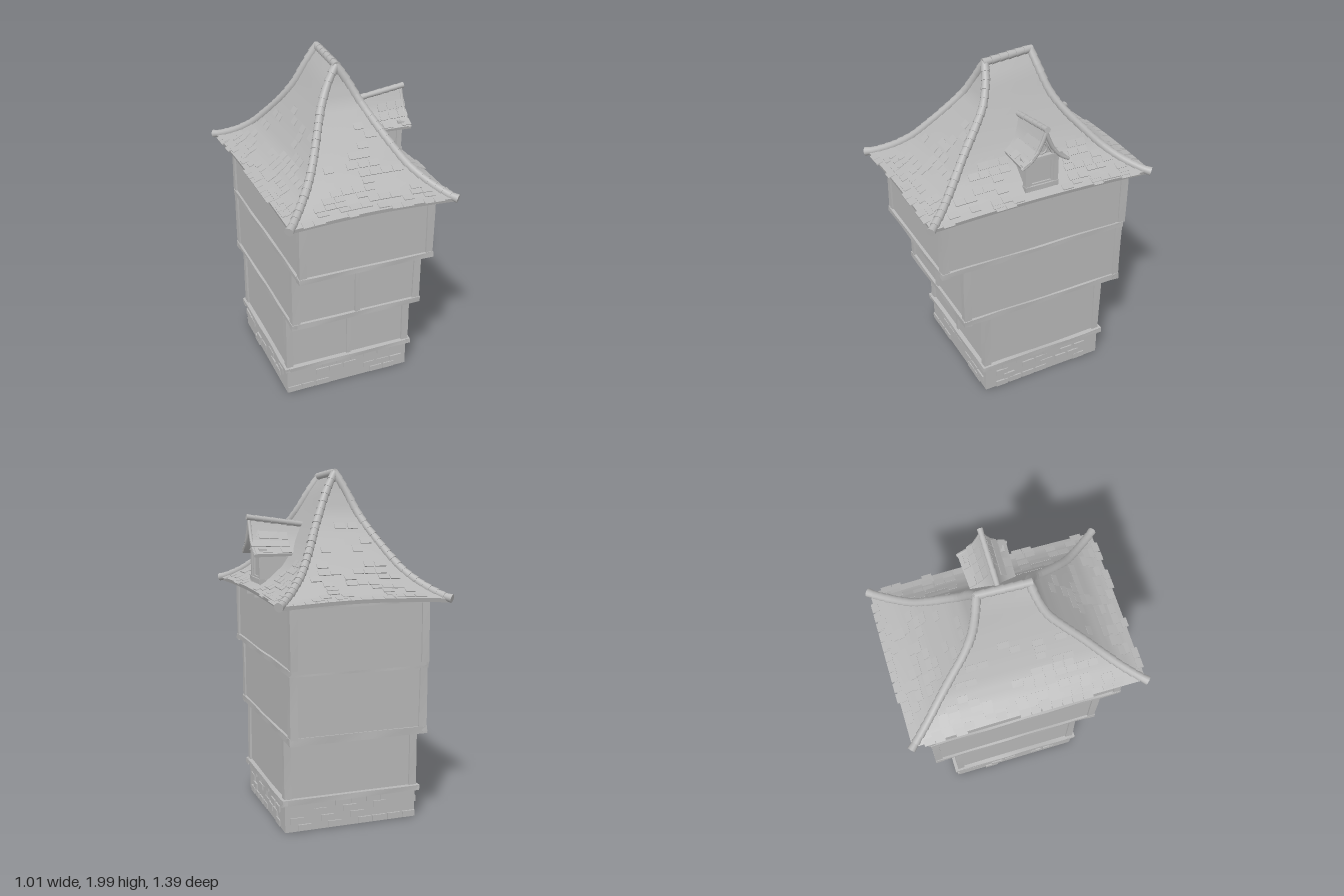
import * as THREE from 'three';
import { mergeGeometries, toCreasedNormals } from 'three/addons/utils/BufferGeometryUtils.js';

const stone = new THREE.MeshStandardMaterial({ color: 0xb8b8b8 });
stone.name = 'plain grey';

let seed = 7;
const rand = () => (seed = (seed * 16807) % 2147483647) / 2147483647;
const V = (x, y, z) => new THREE.Vector3(x, y, z);

// Roof contour from soffit to ridge: height, half width, front z, back z
const LEVELS = [
  [1.315, 0.37, 0.56, -0.56], [1.288, 0.468, 0.662, -0.662], [1.31, 0.474, 0.667, -0.667],
  [1.335, 0.425, 0.61, -0.61], [1.38, 0.36, 0.535, -0.535], [1.45, 0.288, 0.452, -0.452],
  [1.55, 0.222, 0.362, -0.362], [1.65, 0.165, 0.272, -0.278], [1.75, 0.112, 0.193, -0.216],
  [1.86, 0.055, 0.148, -0.175], [1.945, 0, 0.125, -0.15],
];
const EAVE = 2, RIDGE = LEVELS.length - 1;

// Corners run counterclockwise seen from above, starting front left
function corner(k, level) {
  const i = Math.min(Math.floor(level), RIDGE - 1), f = level - i;
  const [y, x, zf, zb] = LEVELS[i].map((v, j) => v + (LEVELS[i + 1][j] - v) * f);
  const back = k % 4 === 1 || k % 4 === 2;
  const lift = back ? 0.028 * Math.max(0, (y - 1.75) / 0.195) : 0;
  return V(k % 4 < 2 ? x : -x, y + lift, back ? zb : zf);
}

function roofPoint(k, level, u) {
  const p = corner(k, level).lerp(corner(k + 1, level), u);
  const low = THREE.MathUtils.clamp(1 - (level - EAVE) / 4, 0, 1);
  p.y += 0.018 * low * Math.sin(Math.PI * u);
  return p;
}

function roofSide(k) {
  const pos = [], index = [], across = 12, rows = (RIDGE - EAVE) * 3 + EAVE;
  for (let r = 0; r <= rows; r++) {
    const level = r <= EAVE ? r : EAVE + (r - EAVE) / 3;
    for (let c = 0; c <= across; c++) pos.push(...roofPoint(k, level, c / across).toArray());
  }
  const w = across + 1;
  for (let r = 0; r < rows; r++) for (let c = 0; c < across; c++) {
    const a = r * w + c;
    index.push(a, a + 1, a + w + 1, a, a + w + 1, a + w);
  }
  const g = new THREE.BufferGeometry();
  g.setAttribute('position', new THREE.Float32BufferAttribute(pos, 3));
  g.setIndex(index);
  return toCreasedNormals(g, 0.6);
}

// Thin shingles lying on one roof side in broken courses, ragged along the eave
function shingles(k) {
  const parts = [], m = new THREE.Matrix4();
  for (let row = 0; row < 14; row++) {
    const level = 2.12 + row * 0.4;
    const length = corner(k, level).distanceTo(corner(k + 1, level));
    const count = Math.floor(length / 0.06);
    for (let c = 1; c < count - 1; c++) {
      if (rand() > (row < 9 ? 0.5 : 0.2)) continue;
      const u = (c + 0.5 + (row % 2) * 0.4) / count;
      const p = roofPoint(k, level, u);
      if (k === 0 && row > 1 && Math.abs(p.z) < 0.15) continue;
      const right = roofPoint(k, level, u + 0.01).sub(p).normalize();
      const up = roofPoint(k, level + 0.1, u).sub(p).normalize();
      const out = right.clone().cross(up).normalize();
      up.crossVectors(out, right);
      m.makeBasis(right, up, out).setPosition(p);
      parts.push(new THREE.BoxGeometry(0.052 + rand() * 0.012, 0.04, 0.007)
        .rotateX(-0.1).applyMatrix4(m));
    }
  }
  return mergeGeometries(parts);
}

// Overlapping tapered cap tiles along a curve
function capTiles(curve, radius, step) {
  const n = Math.round(curve.getLength() / step), parts = [];
  for (let i = 0; i < n; i++) {
    const a = curve.getPointAt(i / n), b = curve.getPointAt((i + 1) / n);
    const dir = b.clone().sub(a), r = radius * (0.95 + rand() * 0.1);
    const q = new THREE.Quaternion().setFromUnitVectors(V(0, 1, 0), dir.clone().normalize());
    const g = new THREE.CylinderGeometry(r * 0.82, r, dir.length() * 1.12, 12);
    const mid = a.add(b).multiplyScalar(0.5);
    parts.push(g.applyQuaternion(q).translate(mid.x, mid.y, mid.z));
  }
  return mergeGeometries(parts);
}

export function createModel() {
  const model = new THREE.Group();
  model.name = 'timberTower';
  const add = (name, geo) => {
    const mesh = new THREE.Mesh(geo, stone);
    mesh.name = name;
    model.add(mesh);
  };
  const boxGeo = (x0, x1, y0, y1, z0, z1) => new THREE.BoxGeometry(x1 - x0, y1 - y0, z1 - z0)
    .translate((x0 + x1) / 2, (y0 + y1) / 2, (z0 + z1) / 2);
  const box = (name, ...b) => add(name, boxGeo(...b));
  // Hand-hewn timber with slightly uneven faces
  const timber = (name, x0, x1, y0, y1, z0, z1) => {
    const w = x1 - x0, h = y1 - y0, d = z1 - z0, s = v => Math.max(1, Math.round(v / 0.12));
    const g = new THREE.BoxGeometry(w, h, d, s(w), s(h), s(d)).translate((x0 + x1) / 2, (y0 + y1) / 2, (z0 + z1) / 2);
    const p = g.attributes.position;
    for (let i = 0; i < p.count; i++) {
      const x = p.getX(i), y = p.getY(i), z = p.getZ(i), t = 31 * x + 47 * y + 37 * z;
      p.setXYZ(i, x + 0.002 * Math.sin(t), y + 0.003 * Math.sin(t * 1.7 + 1), z + 0.002 * Math.sin(t * 1.3 + 2));
    }
    g.computeVertexNormals();
    add(name, g);
  };
  // Hollow rectangular wall ring
  const ring = (name, x, y0, y1, zb, zf, t) => {
    const rect = (P, e) => new P([[-x + e, zf - e], [x - e, zf - e], [x - e, zb + e], [-x + e, zb + e]]
      .map(([a, b]) => new THREE.Vector2(a, -b)));
    const shape = rect(THREE.Shape, 0);
    shape.holes.push(rect(THREE.Path, t));
    add(name, new THREE.ExtrudeGeometry(shape, { depth: y1 - y0, bevelEnabled: false })
      .rotateX(-Math.PI / 2).translate(0, y0, 0));
  };

  // Stone base, open underneath
  ring('stoneBase', 0.392, 0, 0.18, -0.445, 0.335, 0.045);
  const bricks = [];
  for (let row = 0; row < 4; row++) {
    const y = 0.004 + row * 0.042;
    for (const s of [-1, 1]) {
      for (let x = -0.39 + (row % 2) * 0.045; x < 0.31; x += 0.09) {
        if (rand() > 0.55) continue;
        const z = s > 0 ? 0.335 : -0.445, t = 0.005 + rand() * 0.006;
        bricks.push(boxGeo(x, x + 0.07 + rand() * 0.015, y, y + 0.036, z - t, z + t));
      }
      for (let z = -0.44 + (row % 2) * 0.045; z < 0.25; z += 0.09) {
        if (rand() > 0.55) continue;
        const t = 0.005 + rand() * 0.006;
        bricks.push(boxGeo(s * 0.392 - t, s * 0.392 + t, y, y + 0.036, z, z + 0.07 + rand() * 0.015));
      }
    }
  }
  add('baseBricks', mergeGeometries(bricks));

  // Storeys, stepping outward as they rise
  ring('lowerWalls', 0.387, 0.18, 0.56, -0.438, 0.332, 0.03);
  box('middleWalls', -0.388, 0.388, 0.55, 0.94, -0.562, 0.452);
  box('upperWalls', -0.388, 0.388, 0.93, 1.315, -0.577, 0.577);

  // Horizontal beams round each storey: bottom, top, back, front, reach
  for (const [y0, y1, zb, zf, x] of [
    [0.162, 0.194, -0.466, 0.358, 0.412], [0.54, 0.578, -0.572, 0.468, 0.402],
    [0.918, 0.953, -0.574, 0.592, 0.402], [1.28, 1.315, -0.588, 0.59, 0.4],
  ]) {
    timber('leftBeam', x - 0.03, x, y0 + 0.006, y1, zb, zf);
    timber('rightBeam', -x, 0.03 - x, y0 + 0.006, y1, zb, zf);
    timber('frontBeam', -x, x, y0, y1, zf - 0.05, zf);
    timber('backBeam', -x, x, y0, y1, zb, zb + 0.05);
  }

  // Corner posts on every storey, centre posts on the two lower fronts
  for (const [y0, y1, zb, zf] of [[0.19, 0.545, -0.448, 0.344], [0.57, 0.925, -0.572, 0.464], [0.95, 1.29, -0.587, 0.588]]) {
    for (const x of [-0.376, 0.376]) {
      timber('frontCornerPost', x - 0.022, x + 0.022, y0, y1, zf - 0.044, zf);
      timber('backCornerPost', x - 0.022, x + 0.022, y0, y1, zb, zb + 0.044);
    }
    if (y0 < 0.9) timber('centrePost', -0.014, 0.014, y0, y1, zf - 0.03, zf);
  }

  // Joists beneath the overhangs
  for (const [y, z0, z1] of [[0.536, -0.53, -0.44], [0.536, 0.335, 0.42], [0.916, 0.455, 0.55]])
    for (let i = 0; i < 14; i++) {
      const x = -0.345 + i * 0.053;
      box('joist', x - 0.012, x + 0.012, y, y + 0.02, z0, z1);
    }
  for (const s of [-1, 1]) for (const z of [0.1, -0.07])
    box('eaveBracket', s * 0.42 - 0.035, s * 0.42 + 0.035, 1.278, 1.312, z - 0.015, z + 0.015);

  // Swept hipped roof with shingles and capped hips
  for (let k = 0; k < 4; k++) {
    add('roofSide', roofSide(k));
    add('roofShingles', shingles(k));
    const pts = [];
    for (let l = EAVE; l <= RIDGE; l++) pts.push(corner(k, l));
    pts.unshift(pts[0].clone().add(V(Math.sign(pts[0].x) * 0.008, 0, Math.sign(pts[0].z) * 0.008)));
    add('hipTiles', capTiles(new THREE.CatmullRomCurve3(pts), 0.025, 0.047));
  }
  add('ridgeTiles', capTiles(new THREE.LineCurve3(corner(0, RIDGE).add(V(0, 0, 0.01)), corner(1, RIDGE).add(V(0, 0, -0.01))), 0.024, 0.047));

  // Dormer body on the left slope
  const gable = new THREE.Shape([[-0.085, 1.32], [0.085, 1.32], [0.085, 1.53], [0.04, 1.59], [0, 1.67], [-0.04, 1.59], [-0.085, 1.53]]
    .map(p => new THREE.Vector2(...p)));
  add('dormerBody', new THREE.ExtrudeGeometry(gable, { depth: 0.21, bevelEnabled: false })
    .rotateY(Math.PI / 2).translate(0.2, 0, 0));

  // Dormer roof: concave profile, rising and flaring toward the outside
  const half = [[0, 1.715], [0.022, 1.66], [0.05, 1.605], [0.09, 1.56], [0.142, 1.528]];
  const outer = [...half.slice(1).reverse().map(([z, y]) => [-z, y]), ...half];
  const inner = outer.map(([z, y]) => [z * 0.97, y - 0.018]).reverse();
  const section = new THREE.Shape([...outer, ...inner].map(p => new THREE.Vector2(...p)));
  const dormerRoof = new THREE.ExtrudeGeometry(section, { depth: 0.325, steps: 6, bevelEnabled: false })
    .rotateY(Math.PI / 2).translate(0.14, 0, 0);
  const dp = dormerRoof.attributes.position;
  for (let i = 0; i < dp.count; i++) {
    const back = 0.47 - dp.getX(i), high = (dp.getY(i) - 1.51) / 0.2;
    dp.setY(i, dp.getY(i) - back * 0.14 * Math.max(0, high));
    dp.setZ(i, dp.getZ(i) * (1 - 0.35 * back));
  }
  add('dormerRoof', toCreasedNormals(dormerRoof, 0.6));
  add('dormerRidgeTiles', capTiles(new THREE.LineCurve3(V(0.47, 1.725, 0), V(0.14, 1.678, 0)), 0.018, 0.05));

  // Dormer shingles, gable boards and rafters on both slopes
  for (const s of [-1, 1]) {
    for (let j = 1; j < 4; j++) for (let i = 0; i < 4; i++) {
      if (rand() > 0.6) continue;
      const [z0, y0] = half[j], [z1, y1] = half[j + 1];
      const g = new THREE.BoxGeometry(0.056, 0.006, 0.045).rotateX(s * Math.atan2(y0 - y1, z1 - z0) * 0.92);
      const x = 0.44 - i * 0.056, t = 0.47 - x;
      const y = (y0 + y1) / 2, drop = t * 0.14 * (y - 1.51) / 0.2;
      add('dormerShingle', g.translate(x, y - drop + 0.001, s * (z0 + z1) / 2 * (1 - 0.35 * t)));
    }
    const board = new THREE.CatmullRomCurve3(half.map(([z, y]) => V(0.458, y - 0.01, s * z)));
    add('gableBoard', new THREE.TubeGeometry(board, 12, 0.011, 6));
    timber('dormerPost', 0.395, 0.427, 1.35, 1.545, s * 0.086 - 0.014, s * 0.086 + 0.014);
    box('windowFrameSide', 0.405, 0.42, 1.385, 1.53, s * 0.064 - 0.006, s * 0.064 + 0.006);
    const rafter = new THREE.BoxGeometry(0.02, 0.14, 0.016).rotateX(-s * 0.5);
    add('gableRafter', rafter.translate(0.418, 1.6, s * 0.042));
  }
  timber('dormerSill', 0.39, 0.432, 1.354, 1.38, -0.1, 0.1);
  timber('dormerLintel', 0.39, 0.432, 1.53, 1.553, -0.118, 0.118);
  for (const y of [1.385, 1.52]) box('windowFrameRail', 0.405, 0.42, y - 0.006, y + 0.006, -0.07, 0.07);
  add('gableWindowRing', new THREE.TorusGeometry(0.03, 0.006, 6, 16).rotateY(Math.PI / 2).translate(0.417, 1.592, 0));
  return model;
}
